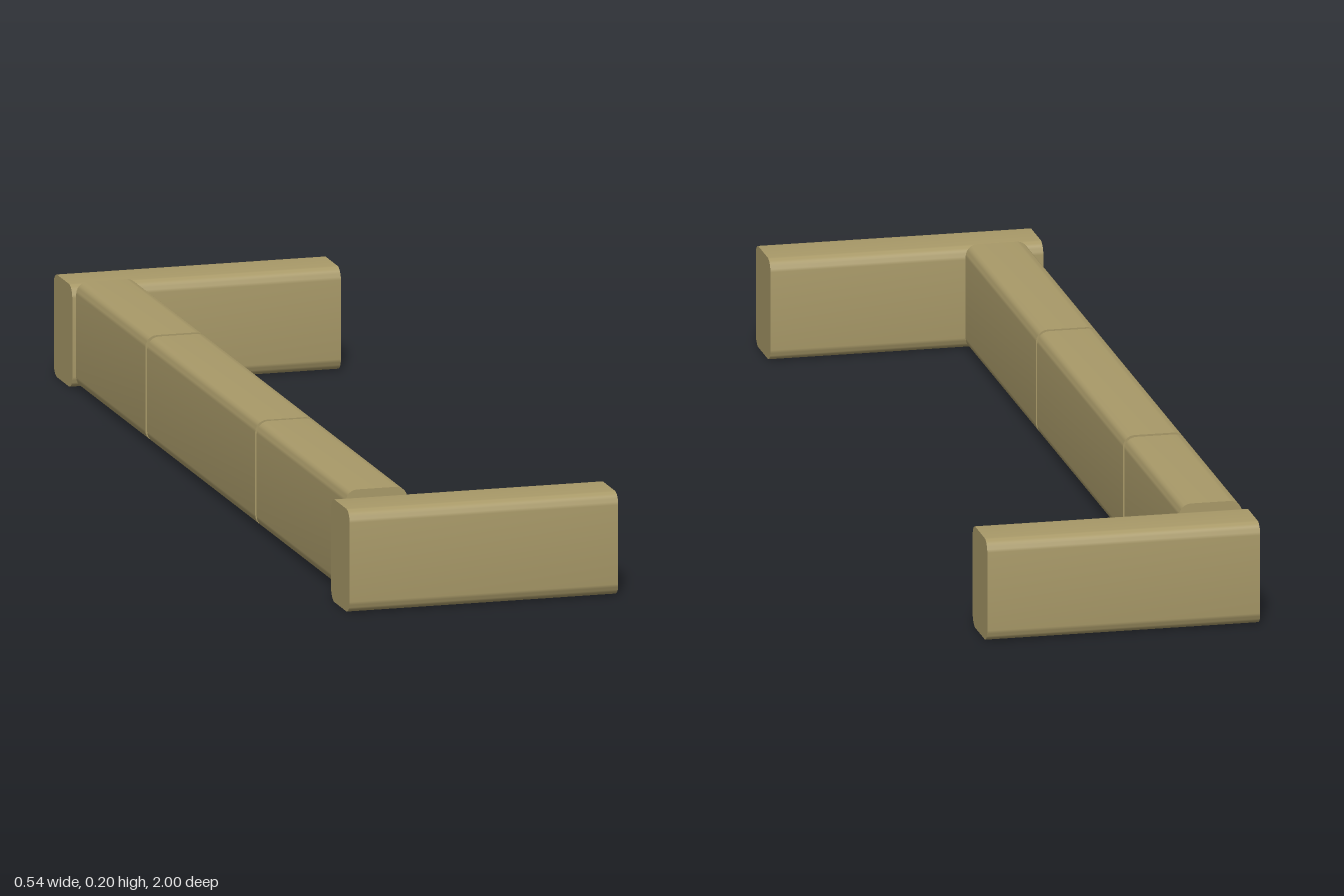
import * as THREE from 'three';
import { toCreasedNormals } from 'three/addons/utils/BufferGeometryUtils.js';

// Straight beam along z: rounded cross-section, flat cut ends
function beamGeometry(width, height, length, r) {
  const w = width / 2, h = height / 2;
  const s = new THREE.Shape();
  s.moveTo(w, -h + r);
  s.absarc(w - r, h - r, r, 0, Math.PI / 2);
  s.absarc(-w + r, h - r, r, Math.PI / 2, Math.PI);
  s.absarc(-w + r, -h + r, r, Math.PI, Math.PI * 1.5);
  s.absarc(w - r, -h + r, r, Math.PI * 1.5, Math.PI * 2);
  const g = new THREE.ExtrudeGeometry(s, { depth: length, bevelEnabled: false, curveSegments: 3 });
  g.translate(0, 0, -length / 2);
  return g;
}

export function createModel() {
  const group = new THREE.Group();
  const wood = new THREE.MeshStandardMaterial({ color: 0xa89968 });
  wood.name = 'khaki wood';

  const add = (name, geometry, x, y, z) => {
    const mesh = new THREE.Mesh(toCreasedNormals(geometry, 0.8), wood);
    mesh.name = name;
    mesh.position.set(x, y, z);
    group.add(mesh);
  };

  // Long side: three beams in a row with narrow gaps
  const spans = [['backSideBeam', -0.872, -0.424], ['middleSideBeam', -0.412, 0.287], ['frontSideBeam', 0.297, 0.872]];
  for (const [name, z0, z1] of spans) {
    add(name, beamGeometry(0.118, 0.2, z1 - z0, 0.022), -0.181, 0.102, (z0 + z1) / 2);
  }

  // End beams across the front and back
  for (const [name, x0, x1, z] of [['frontEndBeam', -0.27, 0.243, 0.94], ['backEndBeam', -0.245, 0.268, -0.94]]) {
    const g = beamGeometry(0.12, 0.193, x1 - x0, 0.022).rotateY(Math.PI / 2);
    add(name, g, (x0 + x1) / 2, 0.0965, z);
  }
  return group;
}
